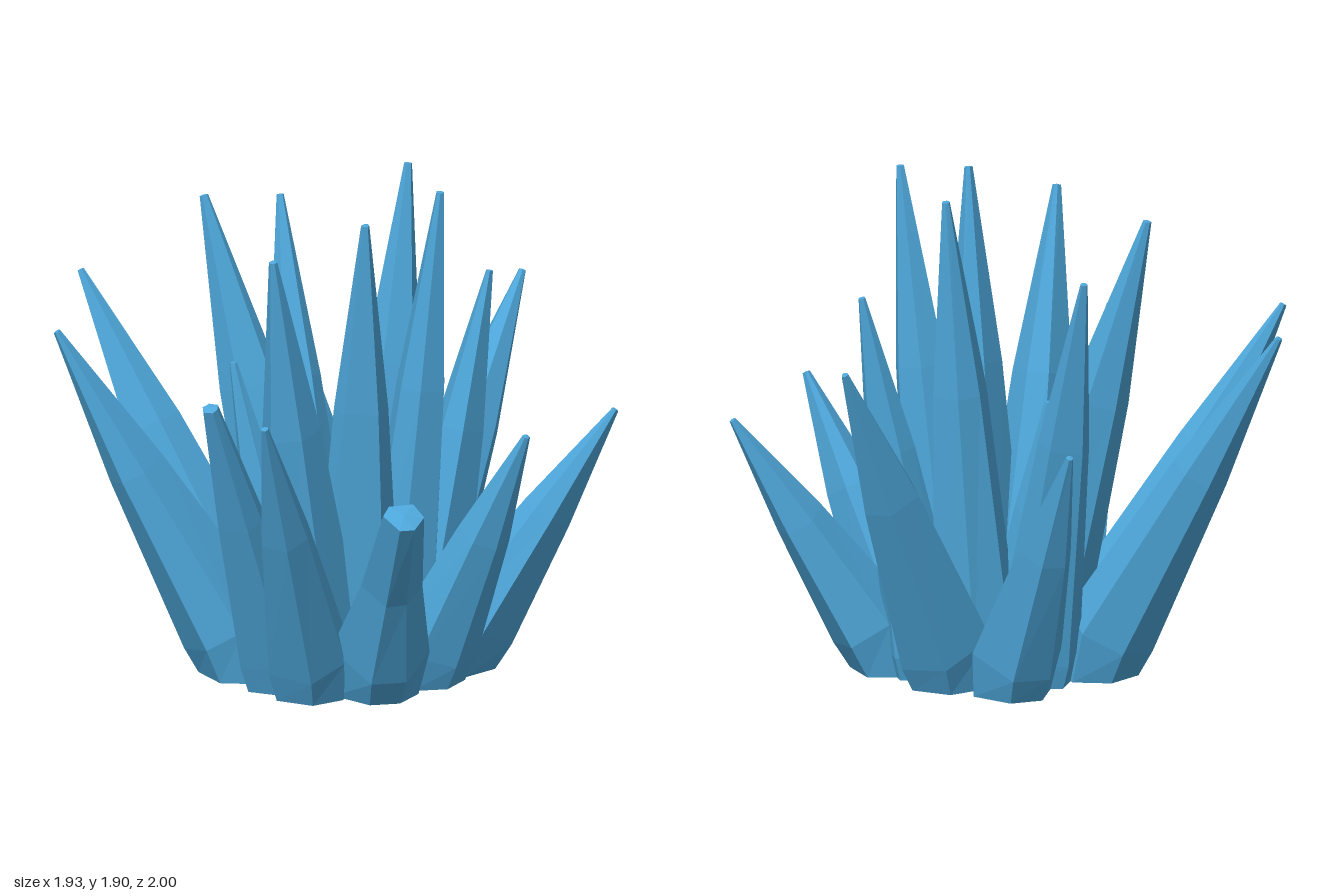
import * as THREE from 'three';

// [tip x, y, z, base x, base z, widest radius, tip radius]
const SPIKES = {
  outerSpike: [
    [-0.41, 1.4, -0.99, -0.2, -0.2, 0.19, 0.014],
    [-0.95, 1.35, -0.52, -0.36, -0.05, 0.2, 0.014],
    [0.23, 1.66, -0.58, 0.03, -0.13, 0.17, 0.014],
    [0.42, 1.04, -0.68, 0.21, -0.18, 0.17, 0.014],
    [0.95, 1.35, -0.02, 0.23, 0.05, 0.19, 0.014],
    [0.48, 1.5, 0.32, 0.2, 0.22, 0.165, 0.014],
    [0.73, 1.0, 0.75, 0.22, 0.36, 0.175, 0.014],
    [0.12, 1.04, 0.93, 0.02, 0.43, 0.16, 0.014],
    [-0.51, 0.84, 0.94, -0.22, 0.44, 0.18, 0.075],
    [-0.94, 1.2, 0.64, -0.4, 0.31, 0.17, 0.014],
    [-0.92, 1.21, 0.31, -0.41, 0.15, 0.16, 0.033],
  ],
  innerSpike: [
    [-0.62, 1.73, 0.33, -0.27, 0.2, 0.19, 0.016],
    [-0.28, 1.84, 0.47, -0.12, 0.25, 0.175, 0.016],
    [-0.29, 1.78, -0.43, -0.11, 0.02, 0.19, 0.016],
    [0.32, 1.89, 0.04, 0.1, 0.08, 0.18, 0.016],
    [0.08, 1.91, 0.49, 0.01, 0.29, 0.17, 0.016],
    [-0.41, 1.21, -0.13, -0.26, 0.06, 0.13, 0.016],
    [-0.07, 1.07, -0.13, -0.04, 0.03, 0.13, 0.016],
  ],
};
const SIDES = 6;
const FLOOR = 0.01;

function seeded(seed) {
  let s = seed;
  return () => (s = (s * 16807) % 2147483647) / 2147483647;
}

// Loft irregular six-sided rings along a leaning axis, with a flat foot and blunt tip
function spikeGeometry([tx, ty, tz, bx, bz, radius, tipRadius], seed) {
  const rand = seeded(seed * 7919 + 17);
  for (let i = 0; i < 5; i++) rand();
  const base = new THREE.Vector3(bx, FLOOR, bz);
  const tip = new THREE.Vector3(tx, ty, tz);
  const axis = tip.clone().sub(base).normalize();
  const lean = new THREE.Quaternion().setFromUnitVectors(new THREE.Vector3(0, 1, 0), axis);
  const turn = rand() * Math.PI;
  const corners = Array.from({ length: SIDES }, (_, i) => ({
    angle: turn + ((i + (rand() - 0.5) * 0.4) / SIDES) * Math.PI * 2,
    scale: 0.92 + rand() * 0.16,
  }));
  // The widest ring sits so that its lowest corner stays just above the floor
  const shoulder = (radius * Math.hypot(axis.x, axis.z) + 0.09) / ty;
  const rings = [[0, radius * 0.86], [shoulder, radius], [0.6, radius * 0.6], [1, tipRadius]];
  const positions = [];
  rings.forEach(([t, r], k) => {
    const centre = base.clone().lerp(tip, t);
    // The foot slides outward so the outer face runs straight down to the floor
    if (k === 0) centre.add(new THREE.Vector3(axis.x, 0, axis.z).multiplyScalar(radius * 0.55));
    for (const { angle, scale } of corners) {
      const wobble = k === 2 ? 0.96 + rand() * 0.1 : 1;
      const p = new THREE.Vector3(Math.cos(angle), 0, Math.sin(angle));
      p.multiplyScalar(r * scale * wobble);
      if (k > 0) p.applyQuaternion(lean);
      p.add(centre);
      if (k === 1) p.y = Math.max(p.y, FLOOR + 0.03);
      positions.push(p.x, p.y, p.z);
    }
  });
  // Pull the cap into a slight point
  const last = tip.clone().addScaledVector(axis, tipRadius * 0.15);
  positions.push(last.x, last.y, last.z);

  const index = [];
  const top = (rings.length - 1) * SIDES;
  for (let i = 0; i < SIDES; i++) {
    const j = (i + 1) % SIDES;
    for (let k = 0; k < rings.length - 1; k++) {
      const a = k * SIDES + i, b = k * SIDES + j;
      index.push(a, a + SIDES, b, b, a + SIDES, b + SIDES);
    }
    index.push(top + i, rings.length * SIDES, top + j);
    if (i > 0 && i < SIDES - 1) index.push(0, i, j);
  }
  const indexed = new THREE.BufferGeometry();
  indexed.setAttribute('position', new THREE.Float32BufferAttribute(positions, 3));
  indexed.setIndex(index);
  const geometry = indexed.toNonIndexed();
  geometry.computeVertexNormals();
  return geometry;
}

export function createModel() {
  const model = new THREE.Group();
  model.name = 'crystalCluster';
  const crystalBlue = new THREE.MeshStandardMaterial({ color: 0x4da6d9 });
  crystalBlue.name = 'crystalBlue';
  crystalBlue.flatShading = true;

  let seed = 1;
  for (const [name, spikes] of Object.entries(SPIKES)) {
    spikes.forEach((spike, i) => {
      const mesh = new THREE.Mesh(spikeGeometry(spike, seed++), crystalBlue);
      mesh.name = `${name}${i + 1}`;
      model.add(mesh);
    });
  }
  return model;
}
